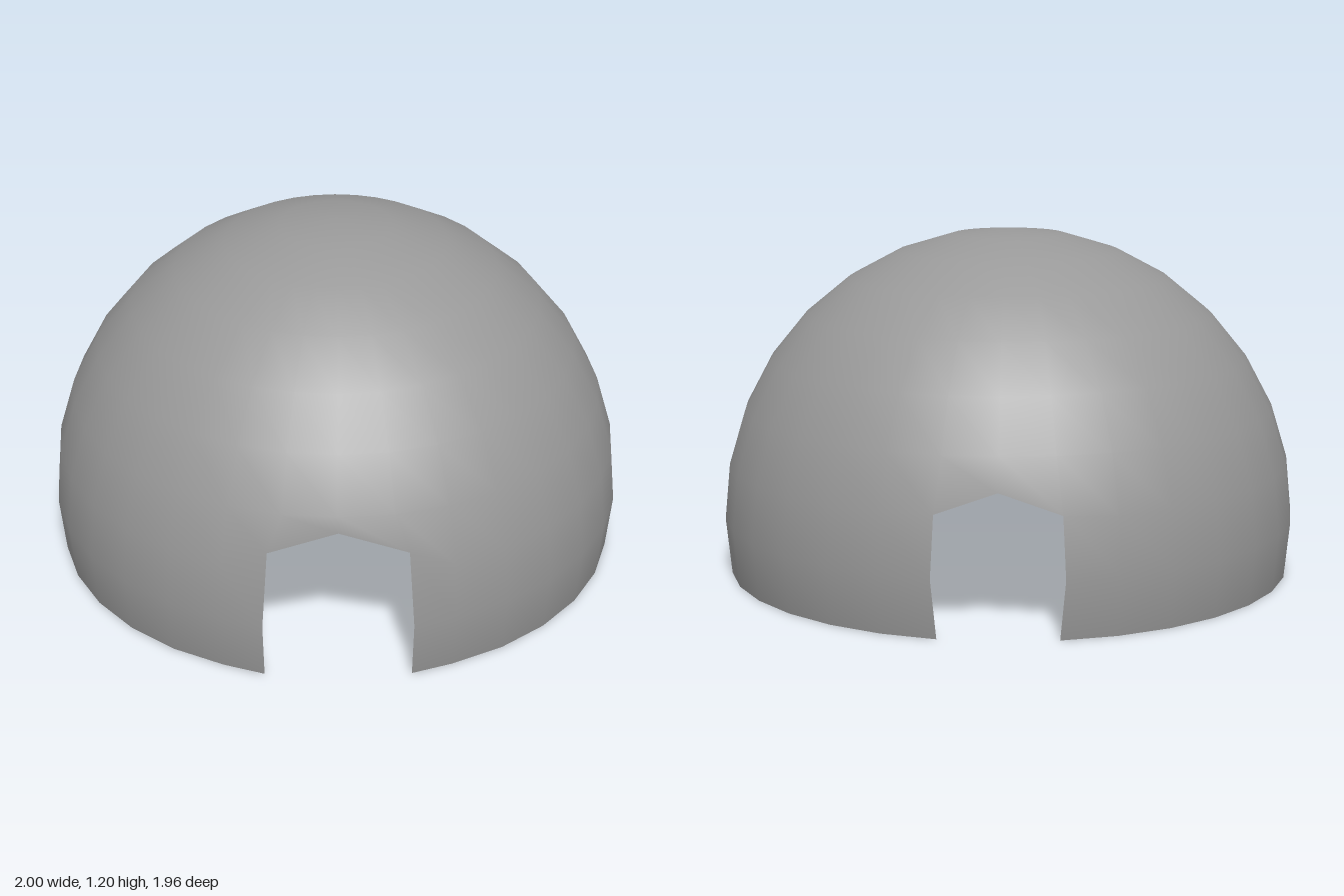
import * as THREE from 'three';

const COLS = 32, ROWS = 9, BASE = 0.195;

export function createModel() {
  const group = new THREE.Group();
  group.name = 'domeShelter';

  // Open spherical shell, reaching one ring below its equator
  const dome = new THREE.SphereGeometry(1, COLS, ROWS, 0, Math.PI * 2, 0, Math.PI * ROWS / 16);
  dome.translate(0, BASE, 0);
  const pos = dome.attributes.position;
  const at = (row, col) => row * (COLS + 1) + col;

  // Doorways: peak, then right-hand edge from corner to ground, mirrored in x
  const doors = [
    { col: 8, peak: [0, 0.541, 0.96], edge: [[0.226, 0.471, 0.964], [0.244, 0.2, 0.98], [0.24, 0.004, 0.963]] },
    { col: 24, peak: [0, 0.475, -0.979], edge: [[0.202, 0.4, -0.96], [0.212, 0.197, -0.979], [0.194, 0, -0.962]] },
  ];
  for (const { col, peak, edge } of doors) {
    pos.setXYZ(at(7, col), ...peak);
    edge.forEach(([x, y, z], i) => {
      for (const side of [-1, 1]) {
        const dc = z > 0 ? side : -side;
        pos.setXYZ(at(7 + i, col + dc), side * x, y, z);
      }
    });
  }

  // Leave out the panels inside the doorways
  const inDoor = (v) => {
    const row = Math.floor(v / (COLS + 1)), col = v % (COLS + 1);
    return row >= 7 && doors.some((d) => Math.abs(col - d.col) <= 1);
  };
  const source = dome.index.array, kept = [];
  for (let i = 0; i < source.length; i += 3) {
    const tri = [source[i], source[i + 1], source[i + 2]];
    if (!tri.every(inDoor)) kept.push(...tri);
  }
  dome.setIndex(kept);

  const shell = new THREE.Mesh(dome, new THREE.MeshStandardMaterial({ color: 0x999999, side: THREE.DoubleSide }));
  shell.name = 'domeShell';
  group.add(shell);
  return group;
}
